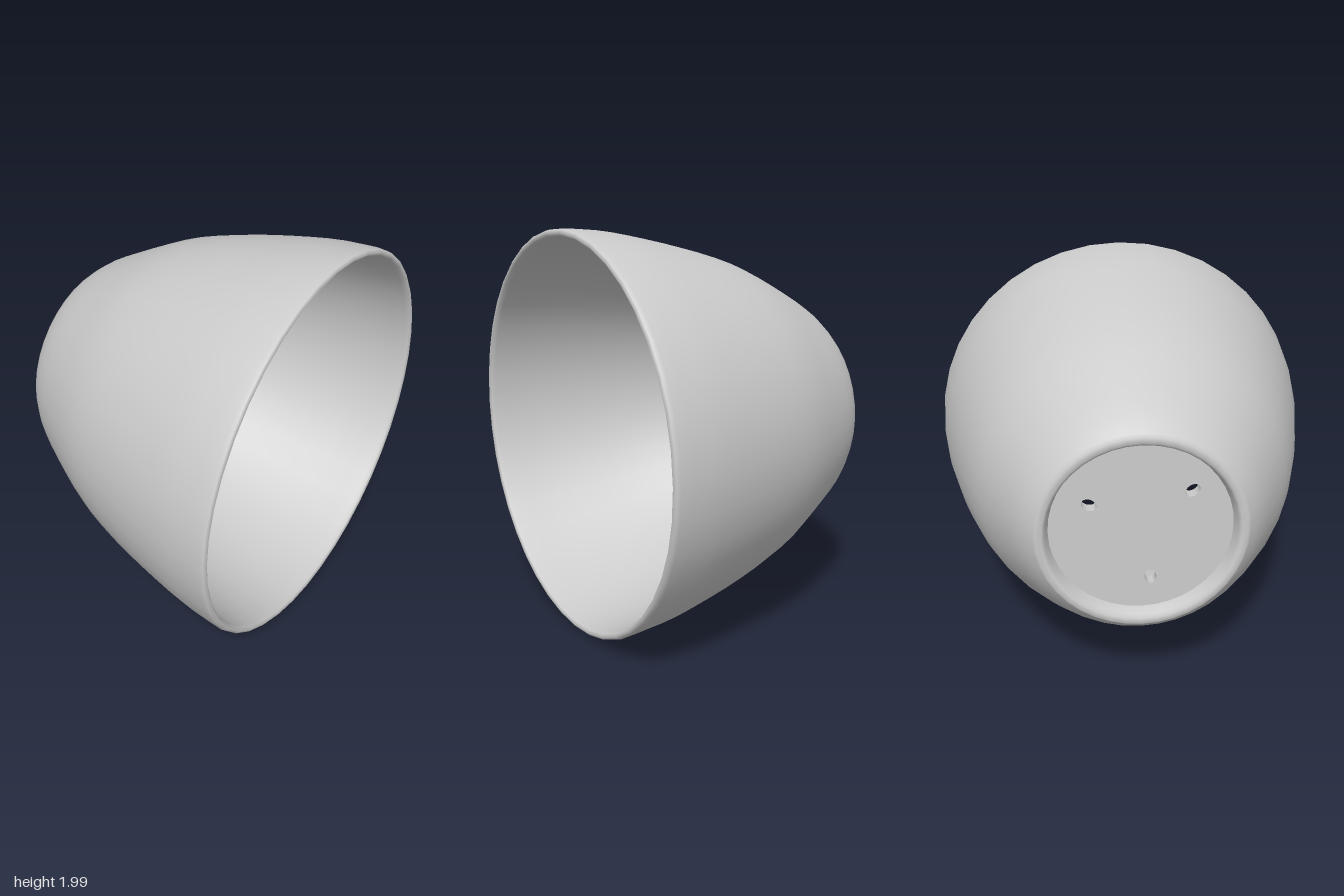
import * as THREE from 'three';
import { toCreasedNormals } from 'three/addons/utils/BufferGeometryUtils.js';

const SEGMENTS = 40;
const FLOOR_BACK = -0.64, FLOOR_FRONT = -0.58;

export function createModel() {
  const model = new THREE.Group();
  const pot = new THREE.Group();
  pot.name = 'pot';
  const material = new THREE.MeshStandardMaterial({ color: 0xcccccc });

  // Wall: recess edge, foot ring, curved outside, rounded rim, inside down to the floor
  const outer = new THREE.SplineCurve([
    [0.502, -0.69], [0.575, -0.6], [0.69, -0.4], [0.79, -0.2],
    [0.87, 0.04], [0.93, 0.28], [0.97, 0.48], [0.988, 0.67],
  ].map(([r, z]) => new THREE.Vector2(r, z))).getPoints(16);
  const inner = new THREE.SplineCurve([
    [0.95, 0.67], [0.92, 0.46], [0.87, 0.22], [0.81, 0],
    [0.73, -0.21], [0.62, -0.42], [0.5, FLOOR_FRONT - 0.005],
  ].map(([r, z]) => new THREE.Vector2(r, z))).getPoints(14);
  const profile = [
    new THREE.Vector2(0.43, FLOOR_BACK), new THREE.Vector2(0.445, -0.69),
    new THREE.Vector2(0.46, -0.705), new THREE.Vector2(0.488, -0.705),
    ...outer,
    new THREE.Vector2(0.984, 0.69), new THREE.Vector2(0.97, 0.7), new THREE.Vector2(0.956, 0.69),
    ...inner,
  ];
  const wallGeometry = new THREE.LatheGeometry(profile, SEGMENTS).rotateX(Math.PI / 2);
  const wall = new THREE.Mesh(wallGeometry, material);
  wall.name = 'wall';
  pot.add(wall);

  // Floor plate with three drain holes
  const disc = new THREE.Shape().absarc(0, 0, 0.505, 0, Math.PI * 2, false);
  for (const [x, y] of [[-0.235, 0.185], [0.24, 0.13], [-0.045, -0.265]]) {
    const angle = Math.atan2(y, x);
    disc.holes.push(new THREE.Path().absellipse(x, y, 0.037, 0.028, 0, Math.PI * 2, true, angle));
  }
  const floorGeometry = new THREE.ExtrudeGeometry(disc, {
    depth: FLOOR_FRONT - FLOOR_BACK, bevelEnabled: false, curveSegments: 20,
  }).translate(0, 0, FLOOR_BACK);
  const floor = new THREE.Mesh(toCreasedNormals(floorGeometry, 0.7), material);
  floor.name = 'floor';
  pot.add(floor);

  // The pot lies on its side with a very slight lean
  pot.rotation.set(0.01, 0.0125, 0);
  pot.position.y = 1;
  pot.scale.set(1.005, 1.005, 1);
  model.add(pot);
  return model;
}
